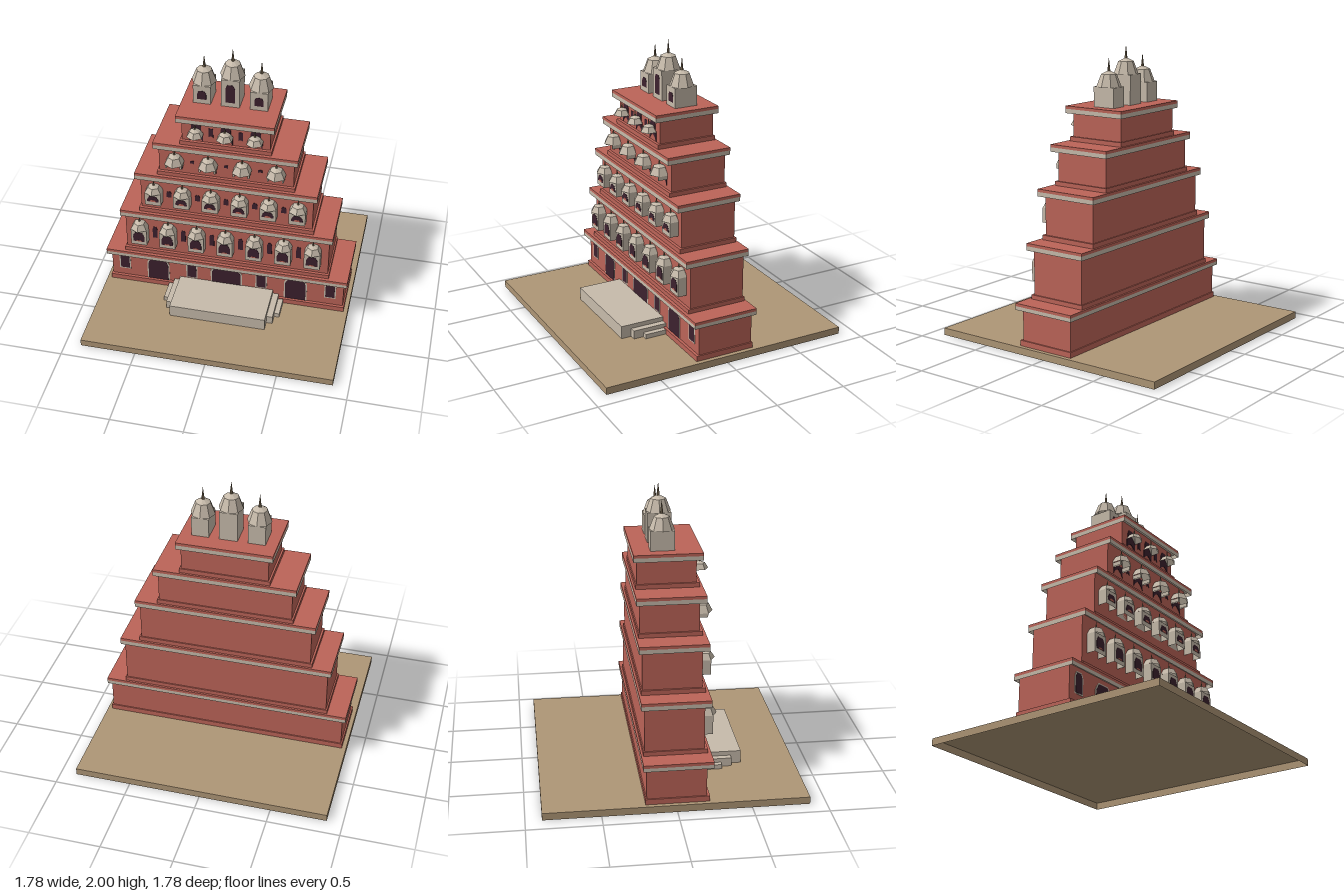
import * as THREE from 'three';

const mat = (name, color) => {
  const m = new THREE.MeshStandardMaterial({ color, flatShading: true, side: THREE.DoubleSide });
  m.name = name;
  return m;
};

export function createModel() {
  const red = mat('red sandstone', 0xbc6458);
  const cream = mat('pale stone', 0xc7bbab);
  const dark = mat('dark opening', 0x3c212e);
  const earth = mat('earth', 0xae9676);
  const bronze = mat('bronze', 0x83725a);
  const model = new THREE.Group();
  model.name = 'tieredPalace';

  const add = (name, geo, material, parent = model) => {
    const mesh = new THREE.Mesh(geo, material);
    mesh.name = name;
    parent.add(mesh);
    return mesh;
  };
  // Box shell, open below, given by its limits: half width, bottom, top, back, front
  const block = (name, material, hw, y0, y1, z0, z1, x = 0, parent = model) => {
    const geo = new THREE.BoxGeometry(hw * 2, y1 - y0, z1 - z0);
    const corners = Array.from(geo.index.array);
    corners.splice(18, 6); // the downward face
    geo.setIndex(corners);
    geo.clearGroups();
    add(name, geo, material, parent).position.set(x, (y0 + y1) / 2, (z0 + z1) / 2);
  };
  // Thin plate from a list of [x, y] corners
  const plate = (name, points, material, x, z, depth, parent = model) => {
    const shape = new THREE.Shape(points.map(([a, b]) => new THREE.Vector2(a, b)));
    const geo = new THREE.ExtrudeGeometry(shape, { depth, bevelEnabled: false });
    add(name, geo, material, parent).position.set(x, 0, z);
  };
  // Chamfered arch outline
  const archPoints = (hw, y0, y1, rise) => [
    [-hw, y0], [hw, y0], [hw, y1 - rise], [hw * 0.9, y1 - rise * 0.65], [hw * 0.58, y1],
    [-hw * 0.58, y1], [-hw * 0.9, y1 - rise * 0.65], [-hw, y1 - rise],
  ];
  const arch = (name, x, z, hw, y0, y1, rise, parent) =>
    plate(name, archPoints(hw, y0, y1, rise), dark, x, z, 0.003, parent);
  // Dark opening with a peaked notch in its lower edge
  const notched = (x, z, hw, y0, y1, peak, parent) => plate('notchedOpening', [
    [-hw, y0], [-hw * 0.65, y0 + (peak - y0) * 0.55], [0, peak], [hw * 0.65, y0 + (peak - y0) * 0.55],
    [hw, y0], [hw, y1], [-hw, y1],
  ], dark, x, z, 0.003, parent);

  // Faceted dome with overhanging eave and a spire
  const dome = (sides, r, eave, shoulder, apex, tip, x, z, parent) => {
    const profile = [[r, eave], [r * 0.62, shoulder], [0, apex]]
      .map(([a, b]) => new THREE.Vector2(a, b));
    add('domeRoof', new THREE.LatheGeometry(profile, sides), cream, parent).position.set(x, 0, z);
    const base = apex - 0.012;
    const spire = add('spire', new THREE.ConeGeometry(r * 0.14, tip - base, 6), bronze, parent);
    spire.position.set(x, (base + tip) / 2, z);
  };

  // Ground slab and stepped entrance terrace
  block('ground', earth, 0.89, 0, 0.05, -0.89, 0.89);
  [[0.343, 0.141, 0.518], [0.386, 0.11, 0.445], [0.422, 0.082, 0.373]].forEach(([hw, top, front]) =>
    block('entranceStep', cream, hw, 0.05, top, 0.19, front));

  // Storeys: wall, plinth and cornice half widths, then bottom, plinth top, cornice bottom, top
  [
    [0.85, 0.86, 0.876, 0.05, 0.088, 0.298, 0.344],
    [0.73, 0.74, 0.756, 0.344, 0.374, 0.678, 0.728],
    [0.605, 0.619, 0.635, 0.728, 0.76, 1.025, 1.075],
    [0.465, 0.477, 0.495, 1.075, 1.105, 1.306, 1.356],
    [0.30, 0.313, 0.332, 1.356, 1.387, 1.547, 1.597],
  ].forEach(([wall, plinth, eave, y0, plinthTop, cornice, top]) => {
    block('storeyWall', red, wall, y0, top - 0.021, -0.2, 0.2);
    block('storeyPlinth', red, plinth, y0, plinthTop, -0.208, 0.22);
    block('corniceBand', cream, eave, cornice, top - 0.02, -0.222, 0.243);
    block('corniceCap', red, eave, top - 0.02, top, -0.222, 0.243);
  });

  // Framed ground floor doors and windows
  const framed = (name, x, hw, y0, y1, rise, sill) => {
    plate(name + 'Frame', archPoints(hw + 0.009, y0 - sill, y1 + 0.008, rise), cream, x, 0.2, 0.002);
    arch(name, x, 0.2, hw, y0, y1, rise);
  };
  framed('mainDoor', 0, 0.106, 0.088, 0.29, 0.055, 0);
  for (const s of [-1, 1]) {
    framed('sideDoor', s * 0.505, 0.074, 0.088, 0.283, 0.055, 0);
    framed('window', s * 0.755, 0.033, 0.153, 0.288, 0.035, 0.008);
    framed('window', s * 0.255, 0.033, 0.153, 0.288, 0.035, 0.008);
  }

  // Evenly spaced, symmetric positions
  const row = (n, gap, fn) => {
    for (let i = 0; i < n; i++) fn((i - (n - 1) / 2) * gap);
  };

  // Enclosed balconies: arched opening with a low red parapet inside
  const balcony = (x, y0, y1, openY0, openY1, apex, tip, parapet) => {
    const g = new THREE.Group();
    g.name = 'balcony';
    g.position.x = x;
    model.add(g);
    block('balconyBox', cream, 0.057, y0, y1, 0.2, 0.263, 0, g);
    arch('balconyOpening', 0, 0.262, 0.041, openY0, openY1, 0.035, g);
    plate('balconyParapet', [[-0.024, openY0], [0.024, openY0], [0.013, parapet], [-0.013, parapet]],
      red, 0, 0.263, 0.003, g);
    dome(6, 0.066, y1, y1 + (apex - y1) * 0.75, apex, tip, 0, 0.228, g);
  };
  row(7, 0.207, x => balcony(x, 0.45, 0.583, 0.48, 0.56, 0.642, 0.68, 0.49));
  row(6, 0.202, x => balcony(x, 0.83, 0.932, 0.862, 0.908, 0.985, 1.025, 0.877));
  row(6, 0.207, x => arch('smallWindow', x, 0.2, 0.017, 0.482, 0.58, 0.022));
  row(5, 0.202, x => arch('smallWindow', x, 0.2, 0.018, 0.87, 0.92, 0.018));

  // Open canopies over notched windows on the upper storeys
  row(4, 0.233, x => {
    notched(x, 0.2, 0.05, 1.132, 1.21, 1.18);
    for (const s of [-1, 1]) block('canopyBracket', cream, 0.006, 1.175, 1.203, 0.2, 0.264, x + s * 0.051);
    dome(6, 0.071, 1.203, 1.255, 1.275, 1.315, x, 0.23);
  });
  row(3, 0.235, x => notched(x, 0.2, 0.014, 1.187, 1.212, 1.194));
  row(3, 0.202, x => {
    notched(x, 0.2, 0.047, 1.388, 1.46, 1.432);
    arch('tallWindow', x, 0.2, 0.034, 1.46, 1.535, 0.03);
    dome(6, 0.06, 1.453, 1.49, 1.507, 1.553, x, 0.232);
  });
  row(2, 0.202, x => notched(x, 0.2, 0.016, 1.43, 1.5, 1.44));

  // Rooftop pavilions
  const pavilion = (x, hw, eave, doorTop, tip) => {
    const g = new THREE.Group();
    g.name = 'rooftopPavilion';
    model.add(g);
    block('pavilionBody', cream, hw, 1.597, eave, -0.102, 0.062, x, g);
    arch('pavilionDoor', x, 0.061, 0.031, 1.63, doorTop, 0.025, g);
    dome(8, 0.085, eave, eave + 0.085, eave + 0.11, tip, x, -0.02, g);
  };
  pavilion(0, 0.063, 1.803, 1.767, 2.0);
  pavilion(-0.193, 0.06, 1.733, 1.695, 1.93);
  pavilion(0.193, 0.06, 1.733, 1.695, 1.93);

  return model;
}
